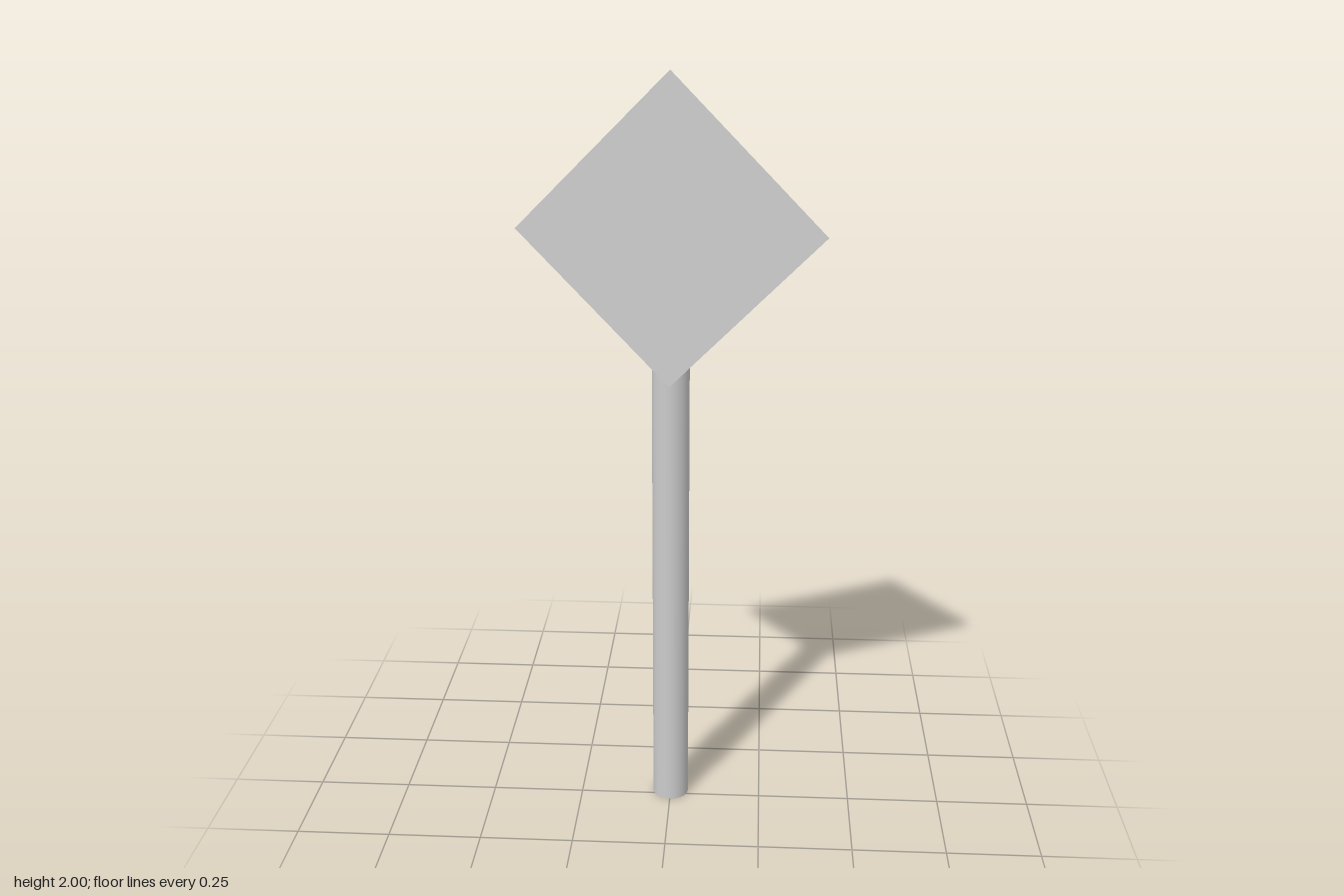
import * as THREE from 'three';

export function createModel() {
  const group = new THREE.Group();
  const material = new THREE.MeshStandardMaterial({ color: 0xcccccc, side: THREE.DoubleSide });
  const poleHeight = 1.61;

  // Hollow pole, open at both ends
  const pole = new THREE.Mesh(new THREE.CylinderGeometry(0.049, 0.049, poleHeight, 32, 1, true), material);
  pole.name = 'pole';
  pole.position.set(0, poleHeight / 2, -0.02);
  group.add(pole);

  // Thin square panel standing on its corner, turned and leaning back slightly
  const side = 0.39 * Math.SQRT2;
  const panelGeometry = new THREE.PlaneGeometry(side, side).rotateZ(Math.PI / 4);
  const corners = panelGeometry.attributes.position;
  for (let i = 0; i < corners.count; i++) {
    corners.setZ(i, 0.099 * corners.getX(i) - 0.056 * corners.getY(i));
  }
  panelGeometry.computeVertexNormals();
  const panel = new THREE.Mesh(panelGeometry, material);
  panel.name = 'signPanel';
  panel.position.set(0, poleHeight, 0.03);
  group.add(panel);

  return group;
}
